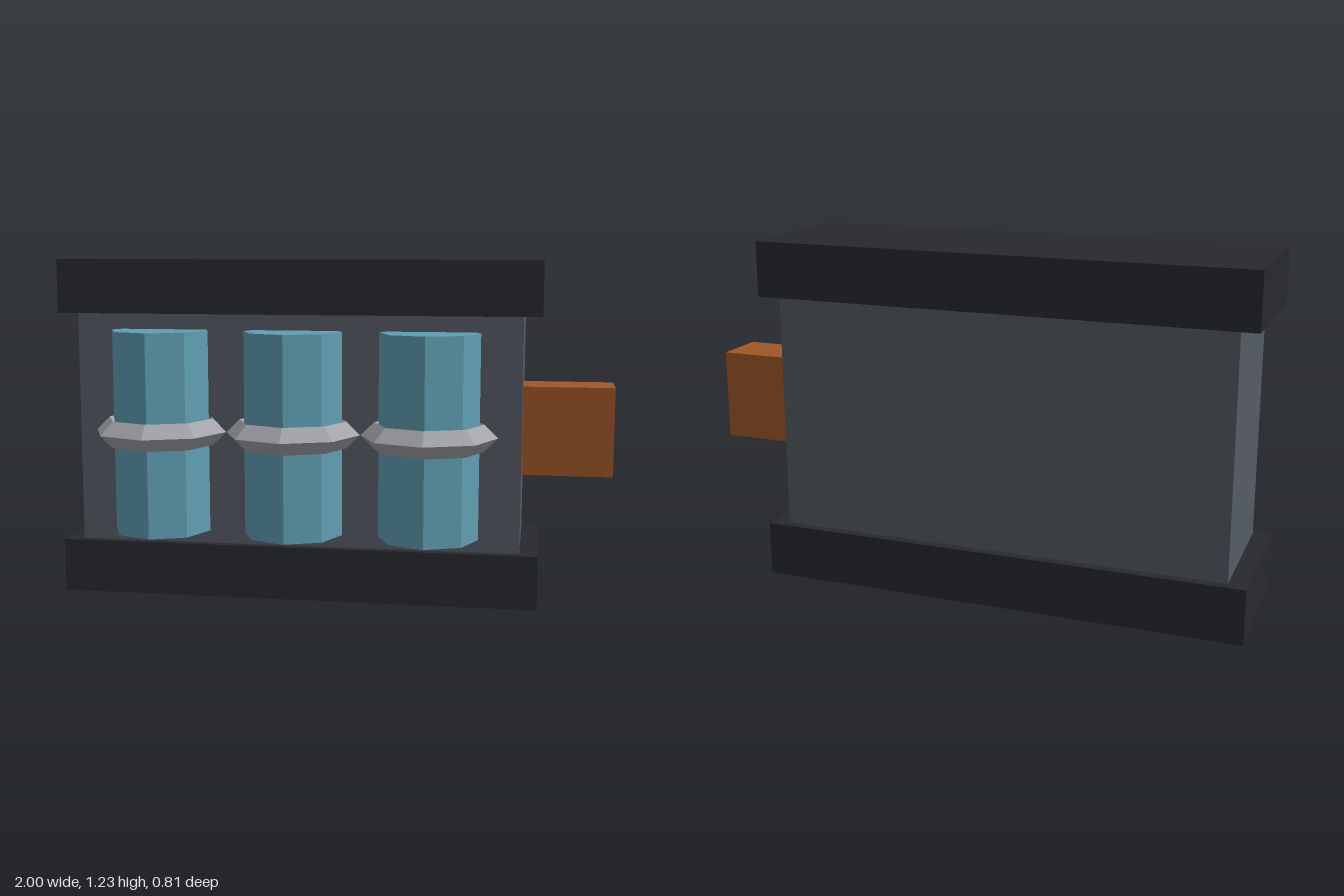
import * as THREE from 'three';

const material = (color) => new THREE.MeshStandardMaterial({ color, flatShading: true });

export function createModel() {
  const model = new THREE.Group();
  model.name = 'canisterPack';
  const dark = material(0x28292e);
  const slate = material(0x555c64);
  const orange = material(0x9e5726);
  const teal = material(0x5f9fb2);
  const metal = material(0xa2a4a8);

  const add = (name, geometry, mat, x, y, z, parent = model) => {
    const mesh = new THREE.Mesh(geometry, mat);
    mesh.name = name;
    mesh.position.set(x, y, z);
    parent.add(mesh);
    return mesh;
  };

  // Housing between two overhanging plates
  add('body', new THREE.BoxGeometry(1.61, 0.84, 0.484), slate, -0.13, 0.614, -0.129);
  const plate = new THREE.BoxGeometry(1.74, 0.194, 0.549);
  add('bottomPlate', plate, dark, -0.13, 0.097, -0.129);
  add('topPlate', plate, dark, -0.13, 1.131, -0.129);

  // Block on the side
  add('sideBlock', new THREE.BoxGeometry(0.325, 0.322, 0.193), orange, 0.8375, 0.614, -0.129);

  // Three octagonal canisters, each with a faceted band
  const tube = new THREE.CylinderGeometry(0.177, 0.177, 0.726, 8);
  const ring = new THREE.TorusGeometry(0.193, 0.048, 4, 8).rotateX(Math.PI / 2);
  for (let i = -1; i <= 1; i++) {
    const canister = new THREE.Group();
    canister.name = 'canister';
    canister.position.set(-0.13 + i * 0.484, 0.614, 0.162);
    add('canisterTube', tube, teal, 0, 0, 0, canister);
    add('canisterBand', ring, metal, 0, 0, 0, canister);
    model.add(canister);
  }
  return model;
}
